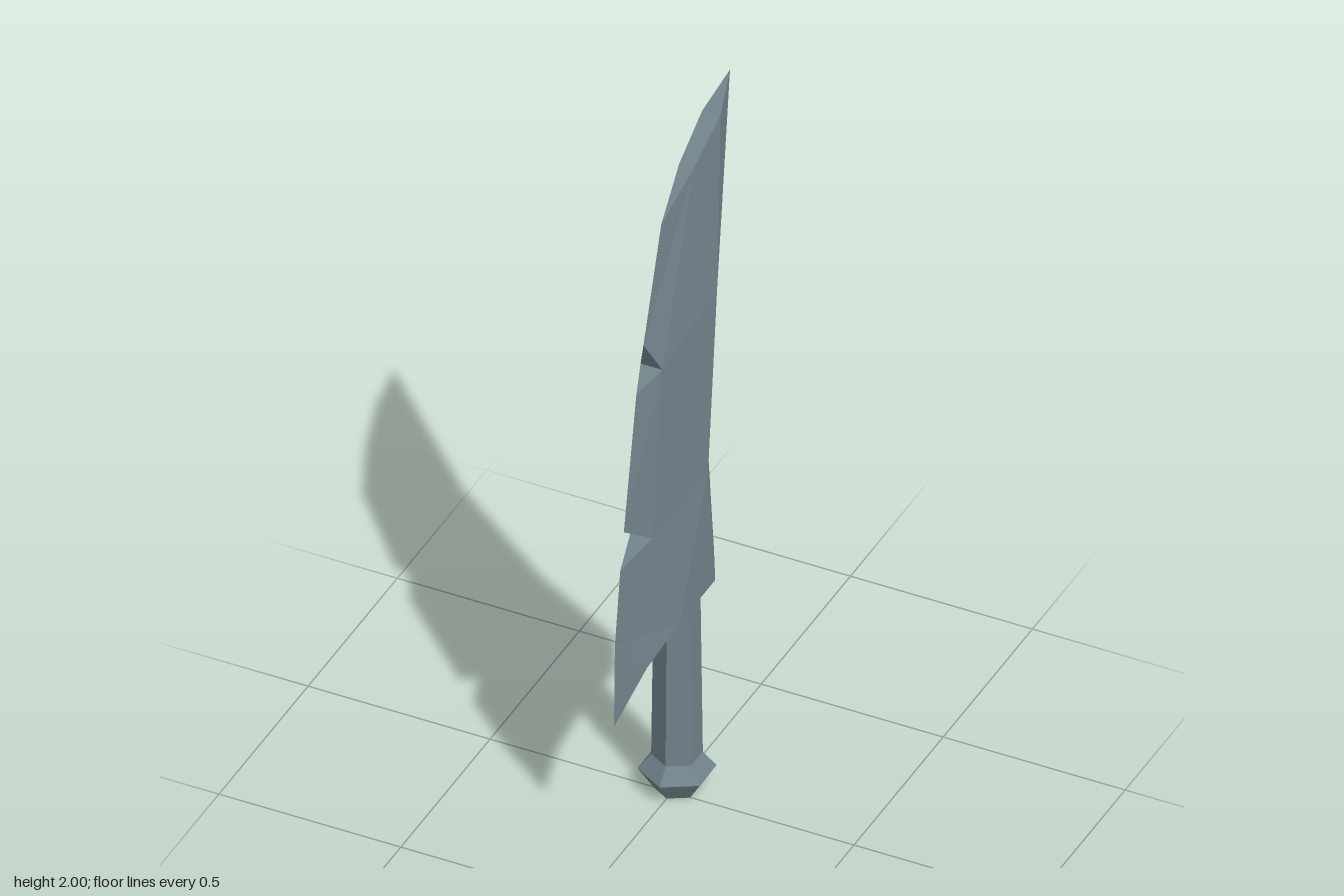
import * as THREE from 'three';

export function createModel() {
  const group = new THREE.Group();
  const steel = new THREE.MeshStandardMaterial({ color: 0x71828a, flatShading: true });
  steel.name = 'blue grey steel';

  // Blade control points: [z, y, half thickness]; the first 18 run round the outline.
  const pts = [
    [-0.325, 2, 0], [-0.22, 1.935, 0.025], [-0.08, 1.865, 0.02], [0.06, 1.78, 0], // tip and top
    [0.16, 1.475, 0], [0.115, 1.38, 0.03], [0.2, 1.35, 0], // upper notch
    [0.27, 0.975, 0], [0.17, 0.9, 0.03], [0.29, 0.87, 0], // lower notch
    [0.32, 0.66, 0], [0.325, 0.415, 0], [0.215, 0.535, 0.037], // barb
    [0.08, 0.59, 0.06], [-0.12, 0.59, 0.06], [-0.235, 0.59, 0], // base
    [-0.195, 0.98, 0], [-0.21, 1.47, 0], // spine
    [-0.08, 0.95, 0.06], [-0.13, 1.47, 0.06], // ridge
  ];
  const outline = 18;
  const faces = [
    [14, 15, 16, 18], [18, 16, 17, 19], [19, 17, 0, 1], // spine bevel
    [13, 14, 18, 8], [8, 18, 19, 5], [19, 1, 2, 5], // flat
    [2, 3, 4, 5], [5, 6, 7, 8], [8, 9, 10, 13], [10, 11, 12, 13], // cutting edge
  ];
  const positions = [];
  const at = (i, side) => new THREE.Vector3(side * pts[i][2], pts[i][1], pts[i][0]);
  const triangle = (a, b, c) => {
    const area = b.clone().sub(a).cross(c.clone().sub(a)).length();
    if (area > 1e-7) for (const p of [a, b, c]) positions.push(p.x, p.y, p.z);
  };

  // Both mirrored sides
  for (const [a, b, c, d] of faces) {
    for (const [i, j, k] of [[a, b, c], [a, c, d]]) {
      triangle(at(i, 1), at(j, 1), at(k, 1));
      triangle(at(i, -1), at(k, -1), at(j, -1));
    }
  }
  // Rim faces where the outline has thickness
  for (let i = 0; i < outline; i++) {
    const j = (i + 1) % outline;
    triangle(at(i, 1), at(i, -1), at(j, -1));
    triangle(at(i, 1), at(j, -1), at(j, 1));
  }
  const bladeGeometry = new THREE.BufferGeometry();
  bladeGeometry.setAttribute('position', new THREE.Float32BufferAttribute(positions, 3));
  bladeGeometry.computeVertexNormals();
  const blade = new THREE.Mesh(bladeGeometry, steel);
  blade.name = 'blade';
  group.add(blade);

  // Six-sided grip and pommel
  const addLathe = (name, profile) => {
    const points = profile.map(([r, y]) => new THREE.Vector2(r, y));
    const mesh = new THREE.Mesh(new THREE.LatheGeometry(points, 6), steel);
    mesh.name = name;
    mesh.position.z = -0.028;
    group.add(mesh);
  };
  addLathe('grip', [[0.064, 0.1], [0.058, 0.6]]);
  addLathe('pommel', [[0, 0], [0.058, 0], [0.098, 0.06], [0.064, 0.102], [0, 0.102]]);

  return group;
}
